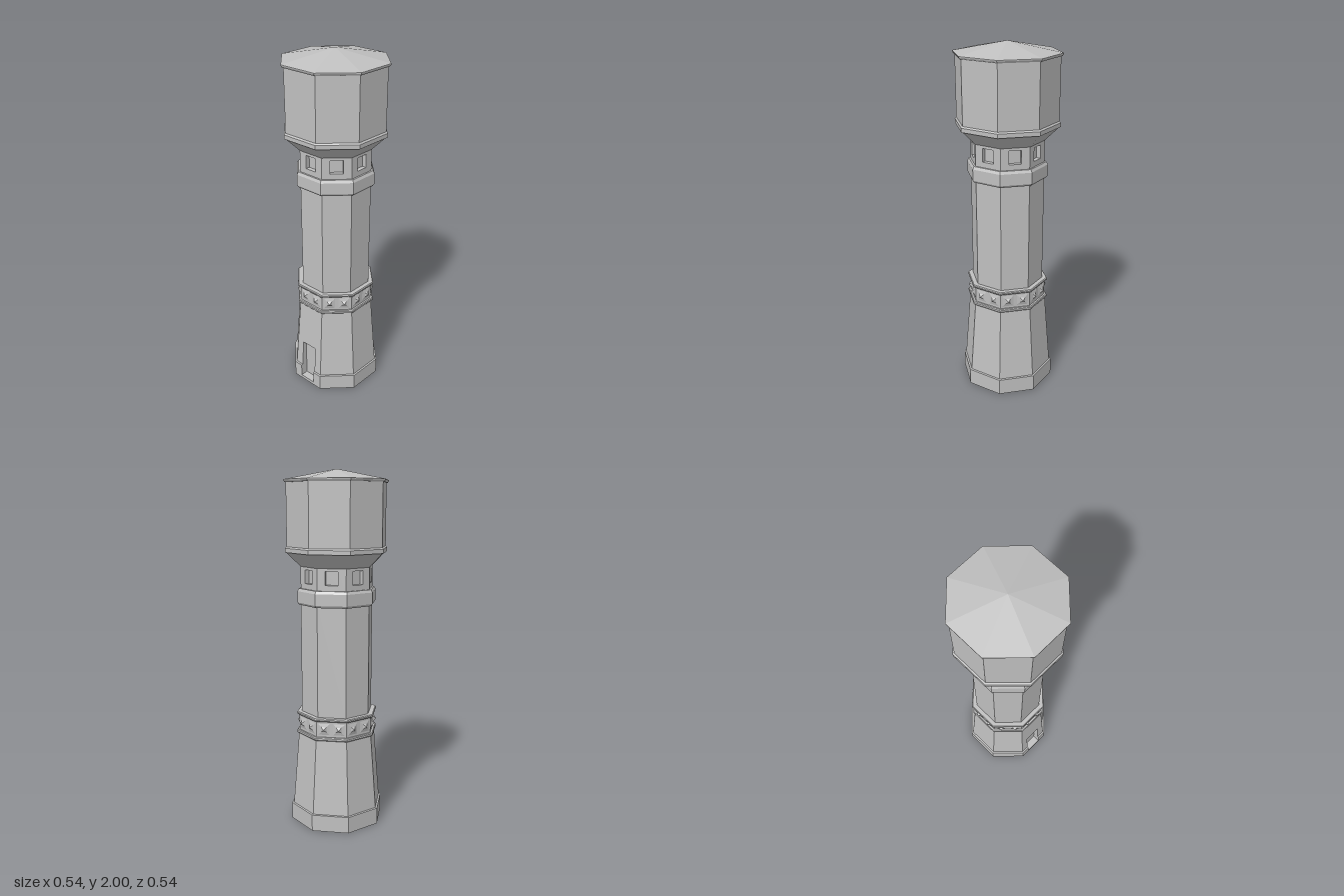
import * as THREE from 'three';

const stone = new THREE.MeshStandardMaterial({ color: 0xc0c0c0 });
stone.name = 'grey stone';
const COS = Math.cos(Math.PI / 8), TAN = Math.tan(Math.PI / 8);

// Separate the faces so each keeps its own flat normal
function flat(geo) {
  const g = geo.index ? geo.toNonIndexed() : geo;
  g.computeVertexNormals();
  return g;
}

function add(parent, name, geo) {
  const m = new THREE.Mesh(flat(geo), stone);
  m.name = name;
  parent.add(m);
  return m;
}

// Octagonal shell from [apothem, y] pairs, bottom to top; open = no front side
function octagon(parent, name, profile, open = false) {
  const pts = profile.map(([a, y]) => new THREE.Vector2(a / COS, y));
  const sides = open ? 7 : 8;
  return add(parent, name, new THREE.LatheGeometry(pts, sides, Math.PI / 8, sides * Math.PI / 4));
}

// Quads with corners listed anticlockwise as seen from outside
function quads(list) {
  const pos = [];
  for (const [a, b, c, d] of list) pos.push(...a, ...b, ...c, ...a, ...c, ...d);
  const g = new THREE.BufferGeometry();
  g.setAttribute('position', new THREE.Float32BufferAttribute(pos, 3));
  return g;
}

// Front side of the base with a recessed doorway
function doorWall(parent, profile) {
  const w = 0.05, bottom = 0.02, top = 0.26, back = 0.205;
  const [p0, p1, p2, p3] = profile;
  const zTop = p2[0] + (p3[0] - p2[0]) * (top - p2[1]) / (p3[1] - p2[1]);
  const levels = [p0, [p0[0], bottom], p1, p2, [zTop, top], p3];
  const wall = [], jambs = [];
  for (let i = 0; i < levels.length - 1; i++) {
    const [z0, y0] = levels[i], [z1, y1] = levels[i + 1];
    const h0 = z0 * TAN, h1 = z1 * TAN;
    if (i === 0 || i === levels.length - 2) {
      wall.push([[-h0, y0, z0], [h0, y0, z0], [h1, y1, z1], [-h1, y1, z1]]);
      continue;
    }
    wall.push([[-h0, y0, z0], [-w, y0, z0], [-w, y1, z1], [-h1, y1, z1]]);
    wall.push([[w, y0, z0], [h0, y0, z0], [h1, y1, z1], [w, y1, z1]]);
    if (y1 > y0) {
      jambs.push([[-w, y0, z0], [-w, y0, back], [-w, y1, back], [-w, y1, z1]]);
      jambs.push([[w, y0, back], [w, y0, z0], [w, y1, z1], [w, y1, back]]);
    }
  }
  // Sill and lintel
  jambs.push([[-w, bottom, p0[0]], [w, bottom, p0[0]], [w, bottom, back], [-w, bottom, back]]);
  jambs.push([[-w, top, back], [w, top, back], [w, top, zTop], [-w, top, zTop]]);
  add(parent, 'baseFrontWall', quads(wall));
  add(parent, 'doorFrame', quads(jambs));
  add(parent, 'door', quads([[[-w, bottom, back], [w, bottom, back], [w, top, back], [-w, top, back]]]));
}

export function createModel() {
  const tower = new THREE.Group();
  tower.name = 'waterTower';

  // Plinth and tapered base
  const base = [[0.25, 0], [0.25, 0.095], [0.24, 0.097], [0.207, 0.53]];
  octagon(tower, 'base', base, true);
  octagon(tower, 'underside', [[0, 0], [0.25, 0]]);
  doorWall(tower, base);

  // Studded band between two thin mouldings
  octagon(tower, 'lowerMoulding', [[0.2, 0.527], [0.214, 0.527], [0.218, 0.532], [0.218, 0.542], [0.214, 0.547], [0.2, 0.547]]);
  octagon(tower, 'studBand', [[0.204, 0.54], [0.204, 0.645]]);
  octagon(tower, 'upperMoulding', [[0.2, 0.638], [0.214, 0.638], [0.218, 0.643], [0.218, 0.65], [0.214, 0.655], [0.185, 0.655]]);

  // Shaft and collar
  octagon(tower, 'shaft', [[0.19, 0.65], [0.19, 1.28]]);
  octagon(tower, 'collar', [[0.19, 1.27], [0.2, 1.27], [0.208, 1.282], [0.208, 1.345], [0.2, 1.36], [0.165, 1.36]]);

  // Back wall behind the windows
  octagon(tower, 'windowBackWall', [[0.165, 1.35], [0.165, 1.49]]);

  // Window panels and studs on all eight sides
  const half = 0.19 * TAN;
  const panel = new THREE.Shape([[-half, 1.355], [half, 1.355], [half, 1.485], [-half, 1.485]]
    .map(([x, y]) => new THREE.Vector2(x, y)));
  panel.holes.push(new THREE.Path([[-0.034, 1.39], [-0.034, 1.465], [0.034, 1.465], [0.034, 1.39]]
    .map(([x, y]) => new THREE.Vector2(x, y))));
  const panelGeo = new THREE.ExtrudeGeometry(panel, { depth: 0.025, bevelEnabled: false });
  panelGeo.translate(0, 0, 0.165);
  const studGeo = new THREE.LatheGeometry(
    [[0.05, 0], [0.02, 0.006], [0, 0.021]].map(([r, y]) => new THREE.Vector2(r, y)), 4, Math.PI / 4);
  studGeo.rotateX(Math.PI / 2);
  for (let i = 0; i < 8; i++) {
    const side = new THREE.Group();
    side.name = 'towerSide';
    side.rotation.y = i * Math.PI / 4;
    add(side, 'windowPanel', panelGeo);
    for (const x of [-0.042, 0.042]) add(side, 'stud', studGeo).position.set(x, 0.592, 0.203);
    tower.add(side);
  }

  // Flared support, rim and tank
  octagon(tower, 'flare', [[0.165, 1.48], [0.19, 1.48], [0.262, 1.557]]);
  octagon(tower, 'tankRim', [[0.255, 1.557], [0.268, 1.557], [0.268, 1.58], [0.26, 1.588]]);
  octagon(tower, 'tank', [[0.26, 1.585], [0.26, 1.935]]);

  // Shallow roof with a thin eave
  octagon(tower, 'roof', [[0.255, 1.928], [0.266, 1.928], [0.272, 1.938], [0.272, 1.943], [0, 2]]);

  return tower;
}
